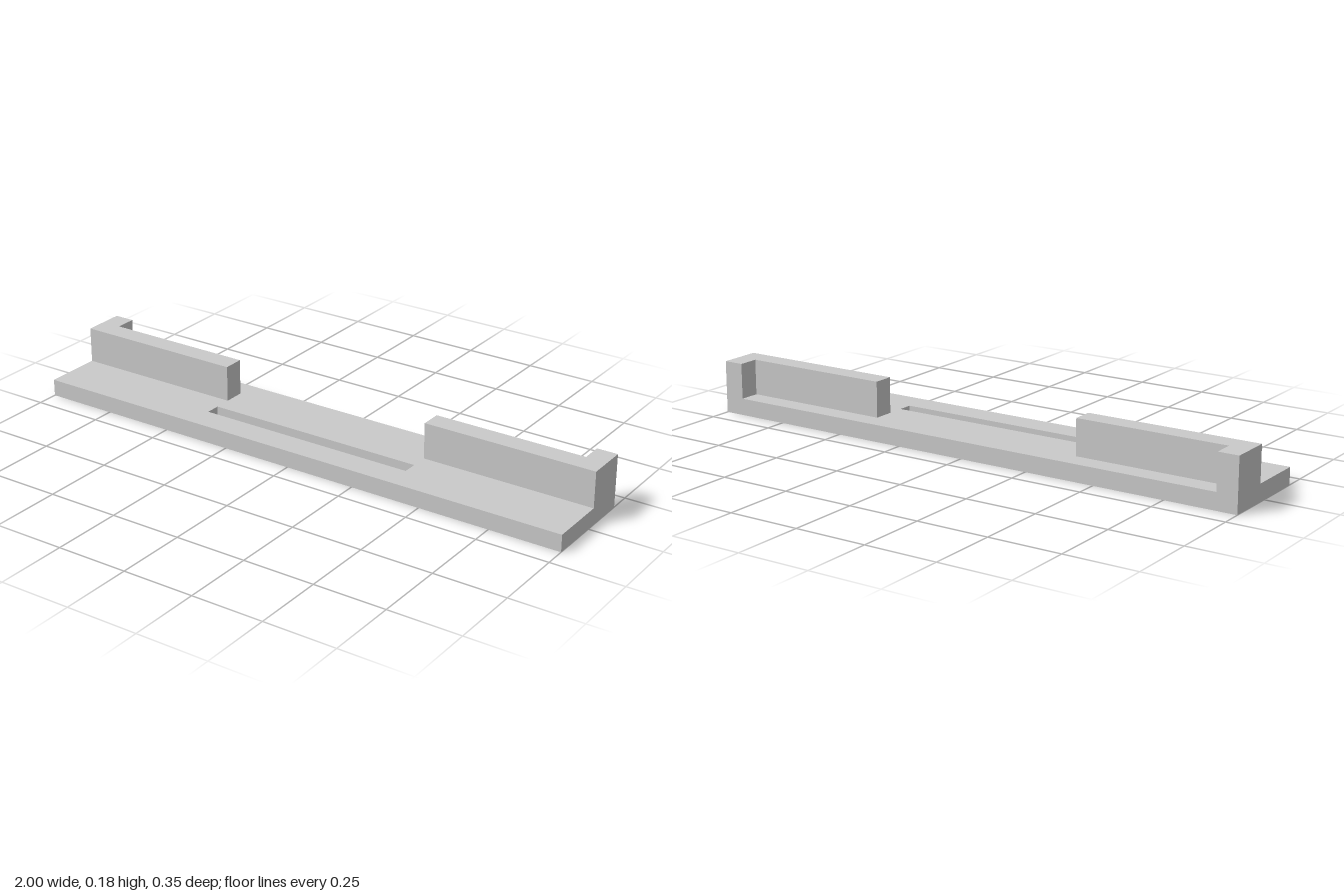
import * as THREE from 'three';

const HALF_X = 1, HALF_Z = 0.175, BASE_H = 0.059, TOP = 0.184;
const SLOT_X = 0.393, WALL_FRONT = -0.029, WALL_BACK = -0.102, END_X = 0.928;

// Plan outline given as [x, z] points
const outline = (points, Type = THREE.Shape) =>
  new Type(points.map(([x, z]) => new THREE.Vector2(x, -z)));

// Counter-clockwise seen from above, so that holes face inwards
const rect = (x, z0, z1) => [[-x, z1], [x, z1], [x, z0], [-x, z0]];

// Raises a plan outline from y0 to y1
function raise(name, shape, y0, y1, material) {
  const geometry = new THREE.ExtrudeGeometry(shape, { depth: y1 - y0, bevelEnabled: false });
  geometry.rotateX(-Math.PI / 2).translate(0, y0, 0);
  const mesh = new THREE.Mesh(geometry, material);
  mesh.name = name;
  return mesh;
}

export function createModel() {
  const model = new THREE.Group();
  model.name = 'slottedBracket';
  const grey = new THREE.MeshStandardMaterial({ color: 0xcacaca });
  grey.name = 'light grey';

  // Base plate with a long through slot
  const plate = outline(rect(HALF_X, -HALF_Z, HALF_Z));
  plate.holes.push(outline(rect(SLOT_X, 0.029, 0.08), THREE.Path));
  model.add(raise('basePlate', plate, 0, BASE_H, grey));

  // L-shaped walls: a long front run with a short return at the outer end
  for (const [name, side] of [['leftWall', 1], ['rightWall', -1]]) {
    const wall = outline([
      [SLOT_X, WALL_FRONT], [HALF_X, WALL_FRONT], [HALF_X, -HALF_Z],
      [END_X, -HALF_Z], [END_X, WALL_BACK], [SLOT_X, WALL_BACK],
    ].map(([x, z]) => [x * side, z]));
    model.add(raise(name, wall, BASE_H, TOP, grey));
  }
  return model;
}
